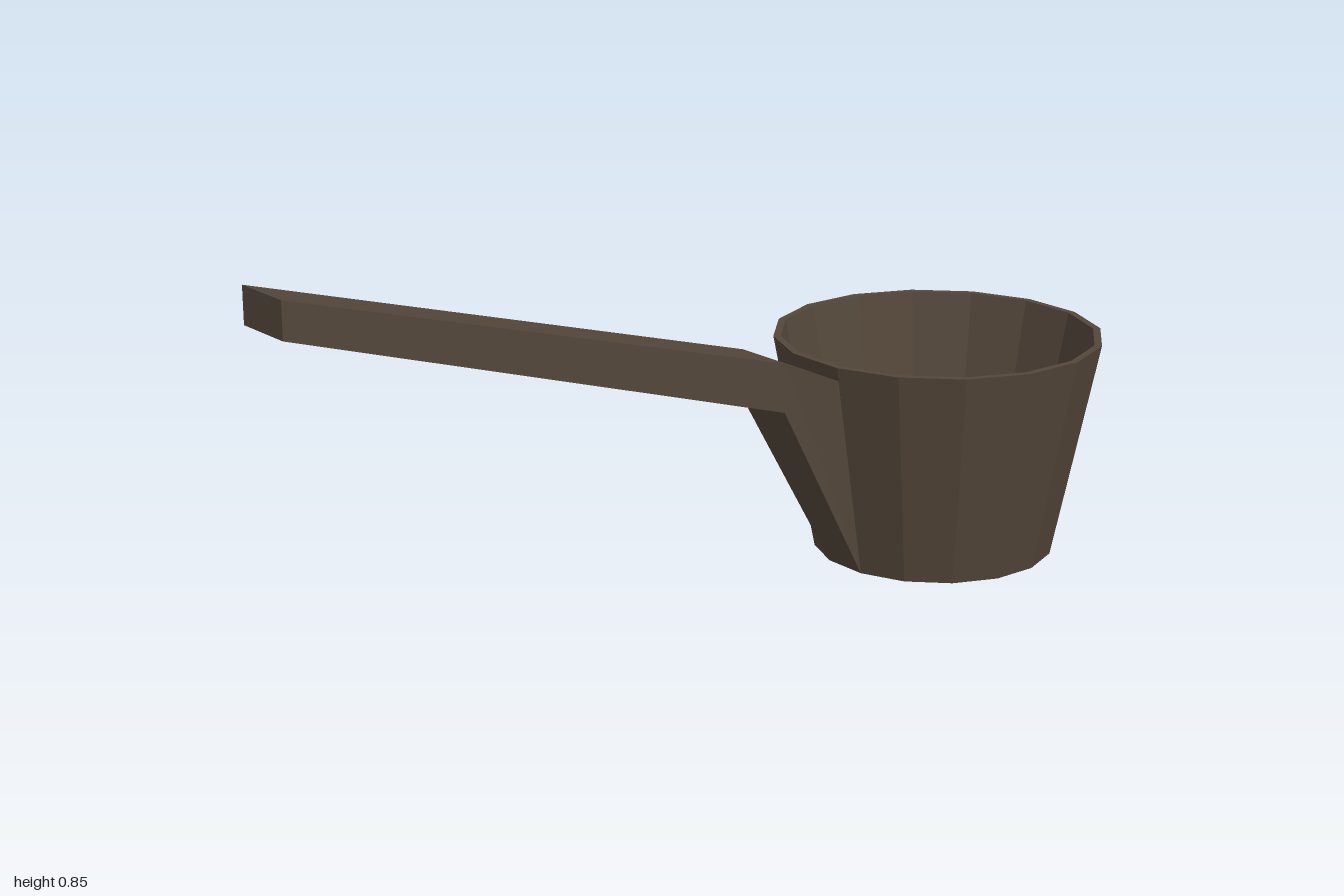
import * as THREE from 'three';

const SIDES = 16;
const CUP_X = 0.65;

// Give every face its own flat normal
function faceted(geometry) {
  const flat = geometry.index ? geometry.toNonIndexed() : geometry;
  flat.computeVertexNormals();
  return flat;
}

// Join four-cornered cross-sections (top back, top front, bottom front, bottom back) into a capped bar
function loft(sections) {
  const positions = sections.flat(2);
  const index = [];
  for (let s = 0; s < sections.length - 1; s++) {
    for (let k = 0; k < 4; k++) {
      const a = s * 4 + k, b = s * 4 + (k + 1) % 4;
      index.push(a, b, b + 4, a, b + 4, a + 4);
    }
  }
  const e = (sections.length - 1) * 4;
  index.push(0, 3, 2, 0, 2, 1, e, e + 1, e + 2, e, e + 2, e + 3);
  const geometry = new THREE.BufferGeometry();
  geometry.setAttribute('position', new THREE.Float32BufferAttribute(positions, 3));
  geometry.setIndex(index);
  return faceted(geometry);
}

// Cross-section from a top and a bottom point, each with its half width
function section(topX, topY, topHalf, lowX, lowY, lowHalf) {
  return [
    [topX, topY, -topHalf], [topX, topY, topHalf],
    [lowX, lowY, lowHalf], [lowX, lowY, -lowHalf],
  ];
}

export function createModel() {
  const model = new THREE.Group();
  model.name = 'scoop';
  const brown = new THREE.MeshStandardMaterial({ color: 0x54473a, flatShading: true });
  brown.name = 'dark brown';

  // Thin-walled tapered cup: underside, outer wall, rim, inner wall, floor
  const profile = [
    [0, 0], [0.262, 0], [0.357, 0.48], [0.341, 0.48], [0.245, 0.02], [0, 0.02],
  ].map(([r, y]) => new THREE.Vector2(r, y));
  const cup = new THREE.Mesh(
    faceted(new THREE.LatheGeometry(profile, SIDES, Math.PI / SIDES)), brown);
  cup.name = 'cup';
  cup.position.x = CUP_X;
  model.add(cup);

  // Sloping handle that flares down into a bracket against one cup facet
  const handle = new THREE.Mesh(loft([
    section(-1, 0.845, 0.068, -1, 0.77, 0.068),
    section(0.16, 0.515, 0.068, 0.16, 0.41, 0.068),
    section(0.306, 0.45, 0.068, 0.393, 0, 0.051),
  ]), brown);
  handle.name = 'handle';
  model.add(handle);

  return model;
}
